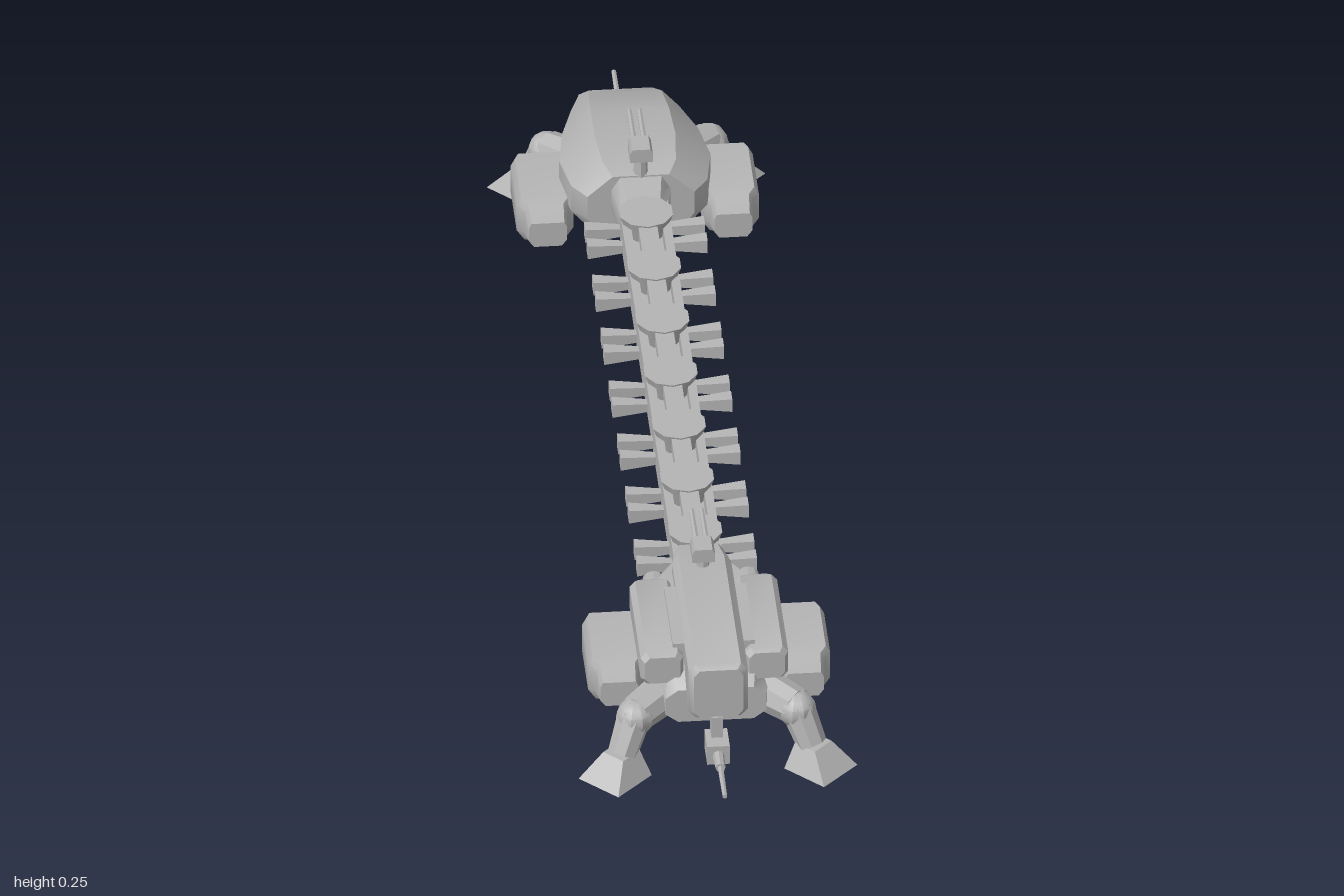
import * as THREE from 'three';
import { toCreasedNormals } from 'three/addons/utils/BufferGeometryUtils.js';

const hullGrey = new THREE.MeshStandardMaterial({ color: 0xb4b4b4 });
hullGrey.name = 'hullGrey';

function add(parent, name, geometry, x = 0, y = 0, z = 0) {
  const mesh = new THREE.Mesh(toCreasedNormals(geometry, 0.6), hullGrey);
  mesh.name = name;
  mesh.position.set(x, y, z);
  parent.add(mesh);
  return mesh;
}

const box = (w, h, d) => new THREE.BoxGeometry(w, h, d);

// Skins eight-sided sections: [z, topHalf, midHalf, bottomHalf, yTop, yMidTop, yMidBottom, yBottom]
function loft(sections, cx = 0) {
  const pos = [], idx = [], last = (sections.length - 1) * 8;
  for (const [z, wt, wm, wb, yt, y2, y1, yb] of sections) {
    const ring = [[wb, yb], [wm, y1], [wm, y2], [wt, yt], [-wt, yt], [-wm, y2], [-wm, y1], [-wb, yb]];
    for (const [x, y] of ring) pos.push(cx + x, y, z);
  }
  for (let r = 0; r < last; r += 8) {
    for (let i = 0; i < 8; i++) {
      const a = r + i, b = r + (i + 1) % 8;
      idx.push(a, b, b + 8, a, b + 8, a + 8);
    }
  }
  for (let i = 1; i < 7; i++) idx.push(0, i + 1, i, last, last + i, last + i + 1);
  const g = new THREE.BufferGeometry();
  g.setAttribute('position', new THREE.Float32BufferAttribute(pos, 3));
  g.setIndex(idx);
  return g;
}

// Tapered limb between two points
function limb(parent, name, a, b, r0, r1, sides = 8) {
  const p = new THREE.Vector3(...a), q = new THREE.Vector3(...b);
  const dir = q.clone().sub(p);
  const mesh = add(parent, name, new THREE.CylinderGeometry(r1, r0, dir.length(), sides));
  mesh.position.copy(p.add(q).multiplyScalar(0.5));
  mesh.quaternion.setFromUnitVectors(new THREE.Vector3(0, 1, 0), dir.normalize());
}

// Splayed leg; s is the x side, f the z direction it points in
function addLeg(parent, s, f, footZ) {
  const leg = new THREE.Group();
  leg.name = 'leg';
  const at = (x, y) => [s * x, y, footZ + f * (x - 0.163)];
  limb(leg, 'thigh', at(0.05, 0.102), at(0.128, 0.093), 0.036, 0.03);
  add(leg, 'knee', new THREE.SphereGeometry(0.031, 10, 8), ...at(0.128, 0.09));
  limb(leg, 'shin', at(0.128, 0.095), at(0.15, 0.036), 0.028, 0.024);
  const foot = new THREE.CylinderGeometry(0.029, 0.058, 0.041, 4);
  const p = foot.attributes.position;
  for (let i = 0; i < p.count; i++) {
    if (p.getY(i) > 0) p.setXYZ(i, p.getX(i) - s * 0.011, p.getY(i), p.getZ(i) - f * 0.011);
  }
  foot.computeVertexNormals();
  add(leg, 'foot', foot, ...at(0.163, 0.0205));
  parent.add(leg);
}

// Side engine with a narrower outlet at its +z end
function addEngine(parent, s, z) {
  add(parent, 'sideEngine', loft([
    [z - 0.09, 0.032, 0.037, 0.028, 0.12, 0.11, 0.085, 0.075],
    [z - 0.075, 0.038, 0.045, 0.035, 0.121, 0.108, 0.06, 0.045],
    [z + 0.035, 0.038, 0.045, 0.033, 0.121, 0.108, 0.06, 0.042],
    [z + 0.05, 0.028, 0.034, 0.026, 0.117, 0.106, 0.065, 0.05],
    [z + 0.09, 0.026, 0.03, 0.022, 0.108, 0.1, 0.075, 0.064],
  ], s * 0.147));
  add(parent, 'engineStrut', box(0.09, 0.025, 0.07), s * 0.09, 0.1, z);
}

// Rooftop turret with twin barrels towards -z
function addTurret(parent, z) {
  const turret = new THREE.Group();
  turret.name = 'turret';
  limb(turret, 'turretPost', [0, 0.19, z], [0, 0.23, z], 0.012, 0.01);
  add(turret, 'turretHead', loft([
    [z - 0.02, 0.014, 0.018, 0.018, 0.25, 0.242, 0.234, 0.226],
    [z + 0.02, 0.014, 0.018, 0.018, 0.25, 0.242, 0.234, 0.226],
  ]));
  for (const s of [-1, 1])
    limb(turret, 'turretBarrel', [s * 0.008, 0.238, z - 0.01], [s * 0.008, 0.238, z - 0.11], 0.005, 0.004, 6);
  parent.add(turret);
}

// Chin gun hung below the hull
function addChinGun(parent, f, z, y) {
  const gun = new THREE.Group();
  gun.name = 'chinGun';
  add(gun, 'gunMount', box(0.018, 0.05, 0.024), 0, y + 0.03, z - f * 0.012);
  add(gun, 'gunHousing', box(0.036, 0.034, 0.05), 0, y, z);
  limb(gun, 'gunSleeve', [0, y, z], [0, y, z + f * 0.06], 0.01, 0.008);
  limb(gun, 'gunBarrel', [0, y, z], [0, y, f], 0.0055, 0.004, 6);
  parent.add(gun);
}

function frontModule() {
  const g = new THREE.Group();
  g.name = 'frontModule';
  add(g, 'lowerHull', loft([
    [0.55, 0.045, 0.06, 0.045, 0.18, 0.16, 0.12, 0.105],
    [0.6, 0.07, 0.1, 0.065, 0.185, 0.155, 0.11, 0.07],
    [0.78, 0.07, 0.09, 0.068, 0.17, 0.125, 0.085, 0.058],
    [0.84, 0.06, 0.08, 0.06, 0.135, 0.12, 0.09, 0.075],
  ]));
  add(g, 'centralBlock', loft([
    [0.53, 0.03, 0.038, 0.03, 0.2, 0.19, 0.13, 0.12],
    [0.58, 0.036, 0.047, 0.036, 0.21, 0.198, 0.122, 0.11],
    [0.88, 0.036, 0.047, 0.036, 0.21, 0.198, 0.122, 0.11],
    [0.89, 0.03, 0.039, 0.03, 0.204, 0.193, 0.127, 0.116],
  ]));
  for (const s of [-1, 1]) {
    add(g, 'sidePod', loft([
      [0.595, 0.018, 0.025, 0.018, 0.182, 0.174, 0.146, 0.138],
      [0.61, 0.025, 0.034, 0.025, 0.19, 0.18, 0.142, 0.132],
      [0.81, 0.025, 0.034, 0.025, 0.19, 0.18, 0.142, 0.132],
      [0.82, 0.02, 0.028, 0.02, 0.185, 0.176, 0.146, 0.137],
    ], s * 0.083));
    limb(g, 'podExhaust', [s * 0.075, 0.158, 0.61], [s * 0.075, 0.155, 0.56], 0.025, 0.018, 12);
    add(g, 'shoulderPlate', box(0.02, 0.02, 0.16), s * 0.055, 0.187, 0.72);
    addEngine(g, s, 0.68);
    addLeg(g, s, 1, 0.875);
  }
  addTurret(g, 0.6);
  addChinGun(g, 1, 0.86, 0.038);
  return g;
}

function rearModule() {
  const g = new THREE.Group();
  g.name = 'rearModule';
  add(g, 'shellHull', loft([
    [-0.88, 0.05, 0.066, 0.05, 0.107, 0.1, 0.095, 0.09],
    [-0.8, 0.058, 0.086, 0.06, 0.155, 0.124, 0.103, 0.083],
    [-0.71, 0.062, 0.108, 0.068, 0.184, 0.142, 0.105, 0.066],
    [-0.62, 0.064, 0.12, 0.07, 0.198, 0.153, 0.108, 0.06],
    [-0.54, 0.058, 0.108, 0.068, 0.202, 0.16, 0.112, 0.065],
    [-0.51, 0.045, 0.085, 0.055, 0.194, 0.158, 0.118, 0.08],
  ]));
  add(g, 'neck', loft([
    [-0.53, 0.035, 0.05, 0.04, 0.195, 0.17, 0.13, 0.115],
    [-0.45, 0.025, 0.038, 0.034, 0.18, 0.165, 0.13, 0.12],
  ]));
  for (const s of [-1, 1]) {
    addEngine(g, s, -0.605);
    addLeg(g, s, -1, -0.78);
  }
  addTurret(g, -0.52);
  addChinGun(g, -1, -0.82, 0.058);
  return g;
}

// Long channel beam with seven bowls and paired side pegs
function spine() {
  const g = new THREE.Group();
  g.name = 'spine';
  add(g, 'spineFloor', box(0.06, 0.025, 1.08), 0, 0.1325, 0.03);
  for (const s of [-1, 1]) add(g, 'spineRail', box(0.014, 0.05, 1.08), s * 0.032, 0.145, 0.03);
  for (let i = 0; i < 7; i++) {
    const z = 0.465 - i * 0.148;
    add(g, 'spineBowl', new THREE.CylinderGeometry(0.044, 0.026, 0.05, 10), 0, 0.16, z);
    add(g, 'spineLink', box(0.03, 0.02, 0.07), 0, 0.172, z - 0.074);
    for (const s of [-1, 1]) for (const dz of [-0.023, 0.023]) {
      // Peg swells towards its outer end
      const peg = new THREE.CylinderGeometry(0.017, 0.01, 0.06, 4).rotateY(Math.PI / 4).rotateZ(-s * Math.PI / 2);
      add(g, 'sidePeg', peg, s * 0.065, 0.135, z + dz);
    }
  }
  return g;
}

export function createModel() {
  const model = new THREE.Group();
  model.name = 'longSpineWalker';
  model.add(frontModule(), spine(), rearModule());
  return model;
}
